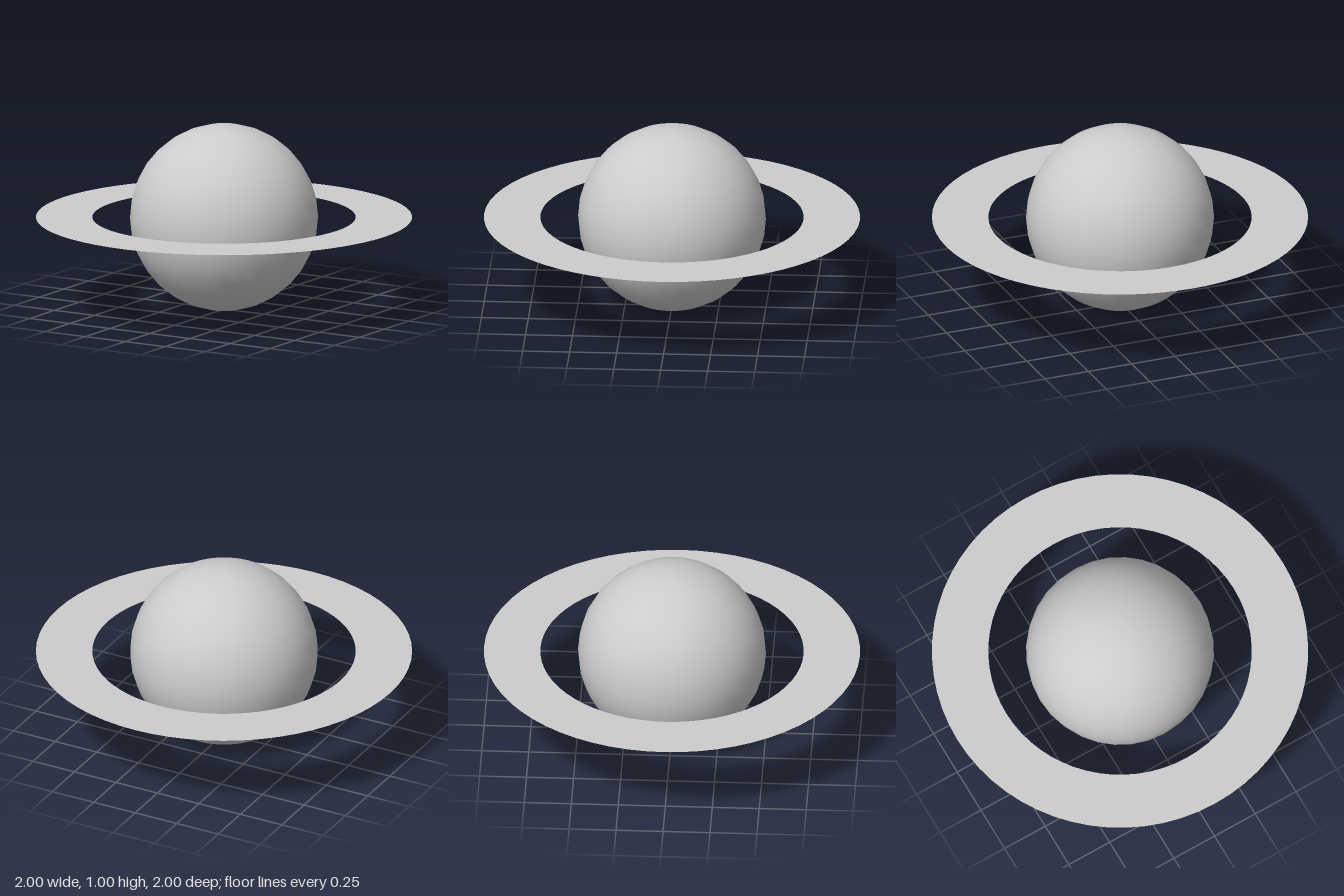
import * as THREE from 'three';

export function createModel() {
  const model = new THREE.Group();
  model.name = 'ringedPlanet';

  const paleGrey = new THREE.MeshStandardMaterial({ color: 0xcccccc, side: THREE.DoubleSide });
  paleGrey.name = 'paleGrey';

  // Smooth globe resting on the ground plane
  const globe = new THREE.Mesh(new THREE.SphereGeometry(0.5, 32, 16), paleGrey);
  globe.name = 'globe';
  globe.position.y = 0.5;

  // Flat, level ring around the equator
  const ring = new THREE.Mesh(new THREE.RingGeometry(0.7, 1, 64), paleGrey);
  ring.name = 'ring';
  ring.rotation.x = -Math.PI / 2;
  ring.position.y = 0.5;

  model.add(globe, ring);
  return model;
}
